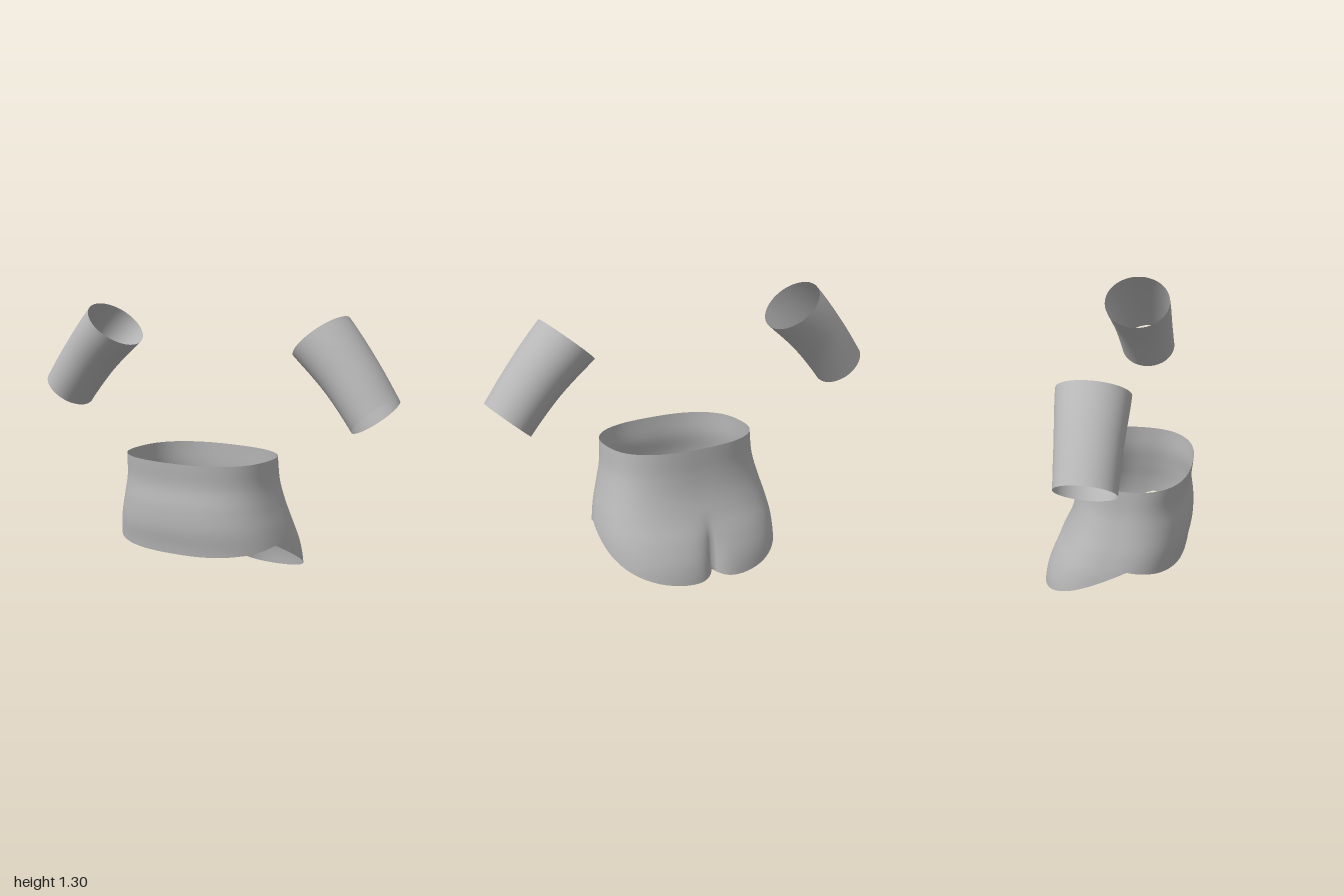
import * as THREE from 'three';

const cloth = new THREE.MeshStandardMaterial({ color: 0xb8b8b8, side: THREE.DoubleSide });
cloth.name = 'greyCloth';

// Open tube skin: point(u, v) with u running round the loop and v from one rim to the other
function loopSkin(name, around, rows, point) {
  const pos = [], idx = [];
  for (let i = 0; i <= rows; i++) {
    for (let j = 0; j < around; j++) {
      pos.push(...point((j / around) * Math.PI * 2, i / rows));
      if (i === rows) continue;
      const k = (j + 1) % around, a = i * around;
      idx.push(a + j, a + k, a + around + j, a + k, a + around + k, a + around + j);
    }
  }
  const g = new THREE.BufferGeometry();
  g.setAttribute('position', new THREE.Float32BufferAttribute(pos, 3));
  g.setIndex(idx);
  g.computeVertexNormals();
  const mesh = new THREE.Mesh(g, cloth);
  mesh.name = name;
  return mesh;
}

// Smooth profile lookup through evenly spaced values over 0..1
function profile(values) {
  const c = new THREE.SplineCurve(values.map((v, i) => new THREE.Vector2(i, v)));
  return (t) => c.getPoint(THREE.MathUtils.clamp(t, 0, 1)).y;
}

// Hip profiles at heights 0, 0.1 ... 0.6, 0.7
const halfWidth = profile([0.455, 0.457, 0.453, 0.435, 0.408, 0.385, 0.377, 0.372]);
const backZ = profile([-0.36, -0.343, -0.303, -0.252, -0.216, -0.198, -0.192, -0.187]);
const frontZ = profile([0.325, 0.327, 0.338, 0.356, 0.357, 0.346, 0.355, 0.365]);
const middleZ = profile([0, 0, 0.01, 0.03, 0.05, 0.07, 0.08, 0.08]);

// Rounded-square hip section with a fold down the middle of the back
function hipPoint(angle, y) {
  const c = Math.cos(angle), s = Math.sin(angle), t = y / 0.7;
  const r = Math.pow(Math.abs(c) ** 2.5 + Math.abs(s) ** 2.5, -0.4);
  const mid = middleZ(t);
  const x = halfWidth(t) * c * r;
  let z = mid + s * r * (s > 0 ? frontZ(t) - mid : mid - backZ(t));
  if (s < 0) {
    const depth = 0.066 * (1 - THREE.MathUtils.smoothstep(y, 0.06, 0.33));
    z += depth * Math.exp(-Math.abs(x) / 0.045);
  }
  return [x, y, z];
}

// Lower hem: rises from the front to the side, then slopes down to the back
const hem = (z) => (z > 0.105 ? 0.23 - (z - 0.105) * 0.235 : 0.23 + (z - 0.105) * 0.49);

function trunksPoint(angle, v) {
  let low = 0.2;
  for (let k = 0; k < 14; k++) low = hem(hipPoint(angle, low)[2]);
  const top = 0.62 - 0.006 * Math.sin(angle);
  return hipPoint(angle, THREE.MathUtils.lerp(top, low, v));
}

// Sleeve: oval tube, wider at the shoulder end and bent slightly upward
const sleeveRadius = profile([0.151, 0.143, 0.135, 0.13, 0.126]);
const sleeveDepth = profile([0.168, 0.161, 0.152, 0.146, 0.141]);

function sleevePoint(side, angle, v) {
  const a = angle * side;
  const n = Math.cos(a) * sleeveRadius(v) + 0.012 * Math.sin(Math.PI * v);
  const x = THREE.MathUtils.lerp(0.608, 0.905, v) + 0.756 * n;
  const y = THREE.MathUtils.lerp(1.21, 0.867, v) + 0.655 * n;
  const z = THREE.MathUtils.lerp(-0.012, 0.003, v) + Math.sin(a) * sleeveDepth(v);
  return [x * side, y, z];
}

export function createModel() {
  const model = new THREE.Group();
  model.name = 'clothing';
  model.add(loopSkin('trunks', 160, 28, trunksPoint));
  for (const side of [1, -1]) {
    model.add(loopSkin(side > 0 ? 'leftSleeve' : 'rightSleeve', 48, 12,
      (u, v) => sleevePoint(side, u, v)));
  }
  return model;
}
